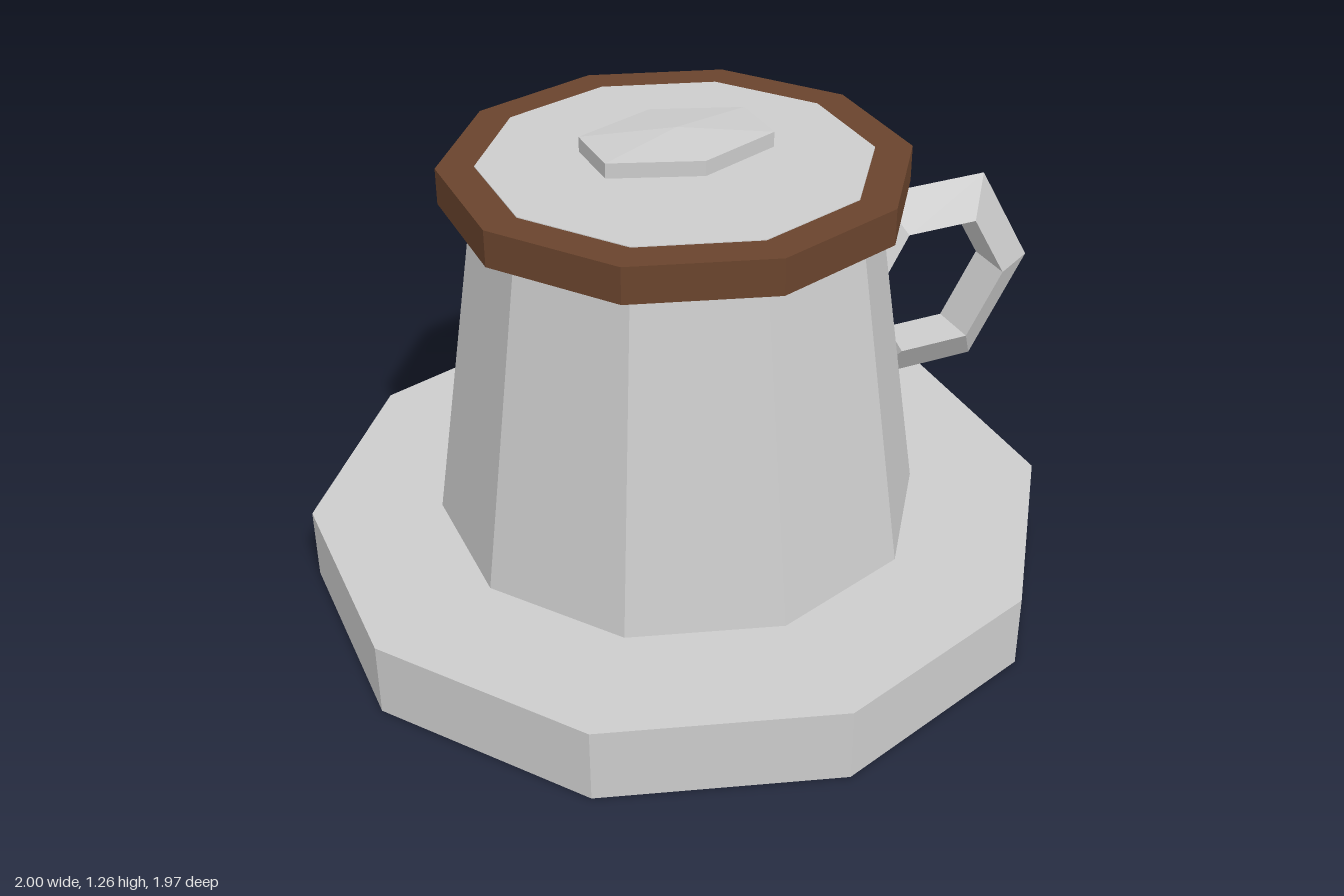
import * as THREE from 'three';

export function createModel() {
  const model = new THREE.Group();
  model.name = 'cupOnSaucer';
  const china = new THREE.MeshStandardMaterial({ color: 0xcccccc, flatShading: true });
  china.name = 'pale grey china';
  const coffee = new THREE.MeshStandardMaterial({ color: 0x6a442d, flatShading: true });
  coffee.name = 'coffee brown';

  const axisX = -0.063; // the cup's axis; the handle pushes it off centre
  const add = (name, geometry, material, x, y) => {
    const mesh = new THREE.Mesh(geometry, material);
    mesh.name = name;
    mesh.position.set(x, y, 0);
    model.add(mesh);
    return mesh;
  };
  // ten-sided solid between two heights
  const decagon = (name, rTop, rBottom, y0, y1, material) =>
    add(name, new THREE.CylinderGeometry(rTop, rBottom, y1 - y0, 10), material, axisX, (y0 + y1) / 2);

  decagon('saucer', 0.985, 0.985, 0, 0.197, china);
  decagon('cup', 0.493, 0.64, 0.197, 1.186, china); // its top shows through the rim
  decagon('rim', 0.588, 0.588, 1.09, 1.184, coffee);

  // flattened six-sided knob
  const profile = [[0, -0.039], [0.257, -0.0195], [0.257, 0.0195], [0, 0.039]]
    .map(([r, y]) => new THREE.Vector2(r, y));
  const knob = add('knob', new THREE.LatheGeometry(profile, 6), china, axisX, 1.225);
  knob.scale.z = 0.665;

  // hexagonal handle with a triangular section
  add('handle', new THREE.TorusGeometry(0.244, 0.079, 3, 6), china, 0.677, 0.69);

  return model;
}
